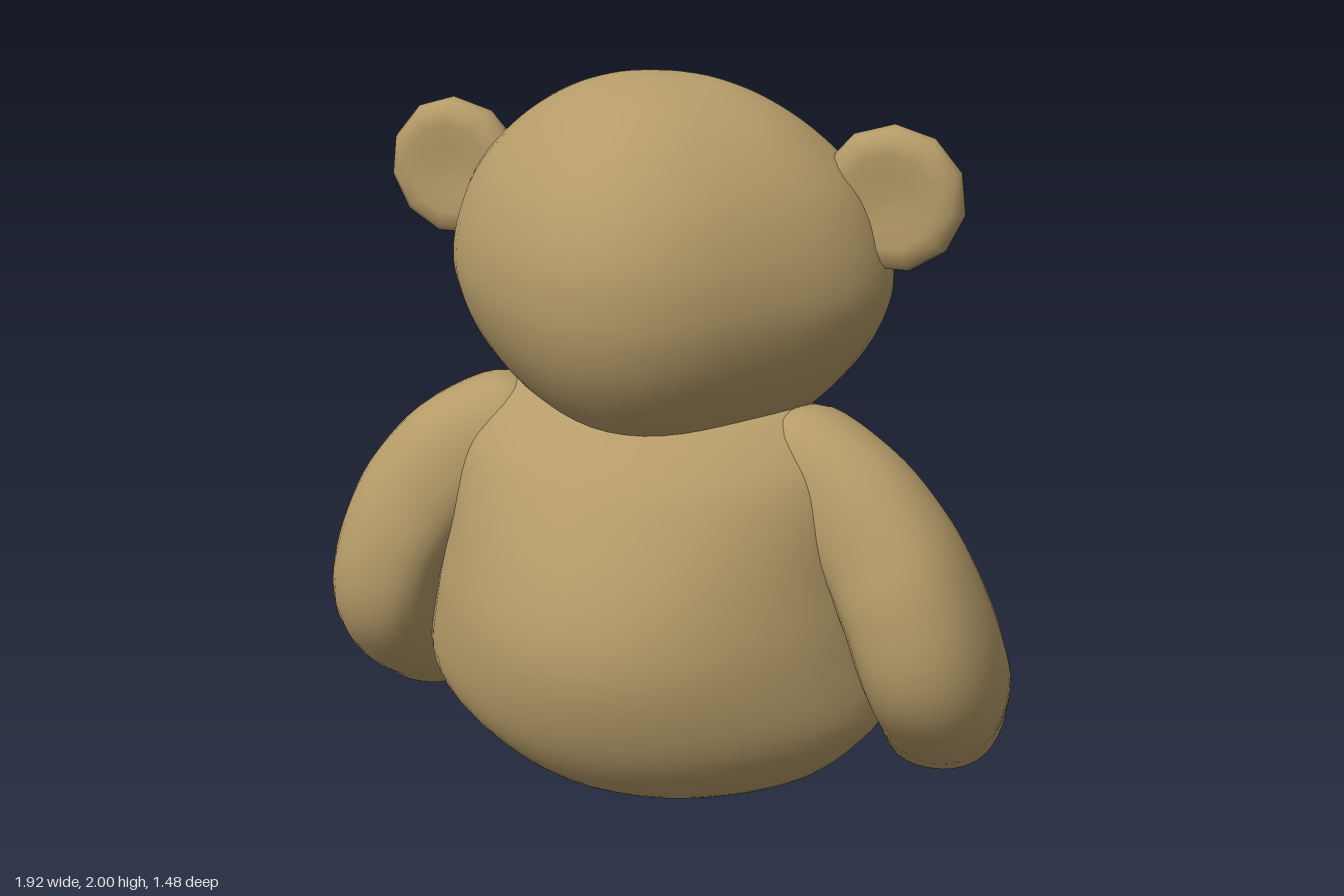
import * as THREE from 'three';
import { mergeVertices } from 'three/addons/utils/BufferGeometryUtils.js';

const V = (x, y, z) => new THREE.Vector3(x, y, z);

// Smoothly interpolates every column of a table of cross-sections
function refine(rows, steps) {
  const out = [];
  const at = (i) => rows[Math.min(Math.max(i, 0), rows.length - 1)];
  for (let i = 0; i < rows.length - 1; i++) {
    for (let k = 0; k < steps; k++) {
      const t = k / steps;
      out.push(rows[0].map((_, c) => {
        const [a, b, d, e] = [at(i - 1)[c], at(i)[c], at(i + 1)[c], at(i + 2)[c]];
        return 0.5 * (2 * b + (d - a) * t + (2 * a - 5 * b + 4 * d - e) * t * t + (3 * b - a - 3 * d + e) * t * t * t);
      }));
    }
  }
  out.push(rows[rows.length - 1]);
  return out;
}

// Turns closed rings of points into a smooth surface facing outward
function skin(rings) {
  const n = rings[0].length, index = [];
  const points = rings.flat();
  let volume = 0;
  for (let i = 0; i < rings.length - 1; i++) {
    for (let j = 0; j < n; j++) {
      const k = (j + 1) % n;
      const [a, b, c, d] = [i * n + j, i * n + k, (i + 1) * n + k, (i + 1) * n + j];
      index.push(a, b, c, a, c, d);
    }
  }
  const cross = V(0, 0, 0);
  for (let i = 0; i < index.length; i += 3) {
    volume += points[index[i]].dot(cross.crossVectors(points[index[i + 1]], points[index[i + 2]]));
  }
  if (volume < 0) index.reverse();
  let geo = new THREE.BufferGeometry().setFromPoints(points);
  geo.setIndex(index);
  geo = mergeVertices(geo, 1e-4);
  geo.computeVertexNormals();
  return geo;
}

function loft(rows, ring, segs = 40, steps = 5) {
  const fine = refine(rows, steps);
  return skin(fine.map((row, i) =>
    Array.from({ length: segs }, (_, j) => ring(row, (j / segs) * Math.PI * 2, i, fine))));
}

// Horizontal slice [y, halfWidth, zFront, zBack]; the widest slices are widest at z = wide
const slice = (wide, maxWidth, pinchFront, pinchBack) => ([y, w, zf, zb], a) => {
  const width = Math.max(w, 0);
  const mid = THREE.MathUtils.lerp((zf + zb) / 2, wide, Math.min(width / maxWidth, 1));
  const s = Math.sin(a);
  const k = 1 - (s > 0 ? pinchBack : pinchFront) * Math.sin(2 * a) ** 2;
  return V(width * Math.cos(a) * k, y, mid + s * k * (s > 0 ? zb - mid : mid - zf));
};

// Upright slice of a leg [z, x, y, radiusX, radiusY]
const legRing = (side) => ([z, x, y, rx, ry], a) =>
  V(side * (x + Math.max(rx, 0) * Math.cos(a)), y + Math.max(ry, 0) * Math.sin(a), z);

// Slightly squared slice of an arm [x, y, z, thickness, depth], square to its path, its back edge leaning inward
const armRing = (side) => ([x, y, z, ra, rb], a, i, all) => {
  const p = all[Math.max(i - 1, 0)], q = all[Math.min(i + 1, all.length - 1)];
  const t = V(q[0] - p[0], q[1] - p[1], q[2] - p[2]).normalize();
  const u = V(0, 0, 1).cross(t).normalize();
  const v = t.clone().cross(u);
  const k = 1 + 0.05 * Math.sin(2 * a) ** 2;
  const pt = V(x, y, z).addScaledVector(u, Math.max(ra, 0) * k * Math.cos(a))
    .addScaledVector(v, Math.max(rb, 0) * k * Math.sin(a));
  pt.x = side * (pt.x - 0.15 * (pt.z - z));
  return pt;
};

const BODY = [[0.02, 0, 0.12, 0.12], [0.035, 0.23, -0.05, 0.29], [0.1, 0.42, -0.17, 0.42], [0.2, 0.55, -0.24, 0.56],
  [0.37, 0.66, -0.3, 0.68], [0.6, 0.625, -0.325, 0.74], [0.8, 0.58, -0.29, 0.7], [1.0, 0.56, -0.2, 0.58],
  [1.1, 0.51, -0.12, 0.485], [1.18, 0.41, 0, 0.36], [1.212, 0.24, 0.08, 0.27], [1.22, 0, 0.17, 0.17]];

const HEAD = [[1.07, 0, 0.05, 0.05], [1.08, 0.2, -0.08, 0.25], [1.12, 0.34, -0.16, 0.38], [1.2, 0.44, -0.215, 0.465],
  [1.3, 0.52, -0.27, 0.535], [1.4, 0.57, -0.315, 0.575], [1.5, 0.59, -0.328, 0.59], [1.62, 0.565, -0.295, 0.58],
  [1.75, 0.5, -0.22, 0.525], [1.87, 0.38, -0.12, 0.425], [1.95, 0.25, -0.025, 0.3], [1.99, 0.12, 0.045, 0.18],
  [2, 0, 0.105, 0.105]];

const ARM = [[0.3, 1.06, 0.15, 0, 0], [0.36, 1.05, 0.18, 0.15, 0.12], [0.52, 0.975, 0.23, 0.168, 0.135],
  [0.64, 0.855, 0.255, 0.168, 0.155], [0.71, 0.73, 0.26, 0.168, 0.185], [0.765, 0.57, 0.235, 0.17, 0.207],
  [0.793, 0.42, 0.145, 0.167, 0.19], [0.788, 0.32, 0.055, 0.163, 0.175], [0.786, 0.25, 0, 0.155, 0.16],
  [0.787, 0.213, -0.028, 0.122, 0.125], [0.789, 0.205, -0.036, 0, 0]];

const LEG = [[0.15, 0.28, 0.21, 0, 0], [0.1, 0.3, 0.21, 0.19, 0.15], [-0.1, 0.342, 0.215, 0.225, 0.18],
  [-0.22, 0.357, 0.208, 0.21, 0.17], [-0.33, 0.357, 0.204, 0.2, 0.168], [-0.48, 0.345, 0.212, 0.207, 0.19],
  [-0.62, 0.33, 0.217, 0.215, 0.213], [-0.69, 0.335, 0.22, 0.2, 0.2], [-0.73, 0.35, 0.22, 0.15, 0.155],
  [-0.74, 0.355, 0.22, 0, 0]];

export function createModel() {
  const bear = new THREE.Group();
  bear.name = 'teddyBear';
  const mat = (name, color) => Object.assign(new THREE.MeshStandardMaterial({ color }), { name });
  const fur = mat('tanFur', 0xb59b68);
  const white = mat('whiteMuzzle', 0xe2e2e2);
  const dark = mat('darkBrown', 0x3f1c1f);
  const add = (name, geo, material) => {
    const mesh = new THREE.Mesh(geo, material);
    mesh.name = name;
    bear.add(mesh);
    return mesh;
  };

  add('body', loft(BODY, slice(0.15, 0.66, 0.05, 0.05), 48), fur);
  add('head', loft(HEAD, slice(0.05, 0.59, 0.06, 0.09), 48), fur);

  // Face: muzzle, nose and eyes are flattened balls
  const ball = new THREE.SphereGeometry(1, 32, 20);
  const feature = (name, material, position, scale, tilt = 0) => {
    const mesh = add(name, ball, material);
    mesh.position.set(...position);
    mesh.scale.set(...scale);
    mesh.rotation.x = tilt;
  };
  feature('muzzle', white, [0, 1.285, -0.238], [0.305, 0.205, 0.075], -0.49);
  feature('nose', dark, [-0.012, 1.355, -0.337], [0.115, 0.08, 0.034], -0.35);
  feature('rightEye', dark, [-0.19, 1.503, -0.305], [0.053, 0.054, 0.038]);
  feature('leftEye', dark, [0.163, 1.503, -0.305], [0.053, 0.054, 0.038]);

  // Softly dished round ears
  const half = [[0, 0.04], [0.07, 0.042], [0.12, 0.052], [0.155, 0.044], [0.177, 0.025]];
  const rim = [...half.map(([r, h]) => [r, -h]), [0.185, 0], ...half.slice().reverse()];
  const earGeo = new THREE.LatheGeometry(rim.map(([r, h]) => new THREE.Vector2(r, h)), 11);

  // Limbs and ears on both sides
  for (const [label, side] of [['left', 1], ['right', -1]]) {
    add(label + 'Arm', loft(ARM, armRing(side), 32), fur);
    add(label + 'Leg', loft(LEG, legRing(side), 32), fur);
    const ear = add(label + 'Ear', earGeo, fur);
    ear.position.set(side * 0.582, 1.715, 0.085);
    ear.rotation.x = -Math.PI / 2;
  }
  return bear;
}
